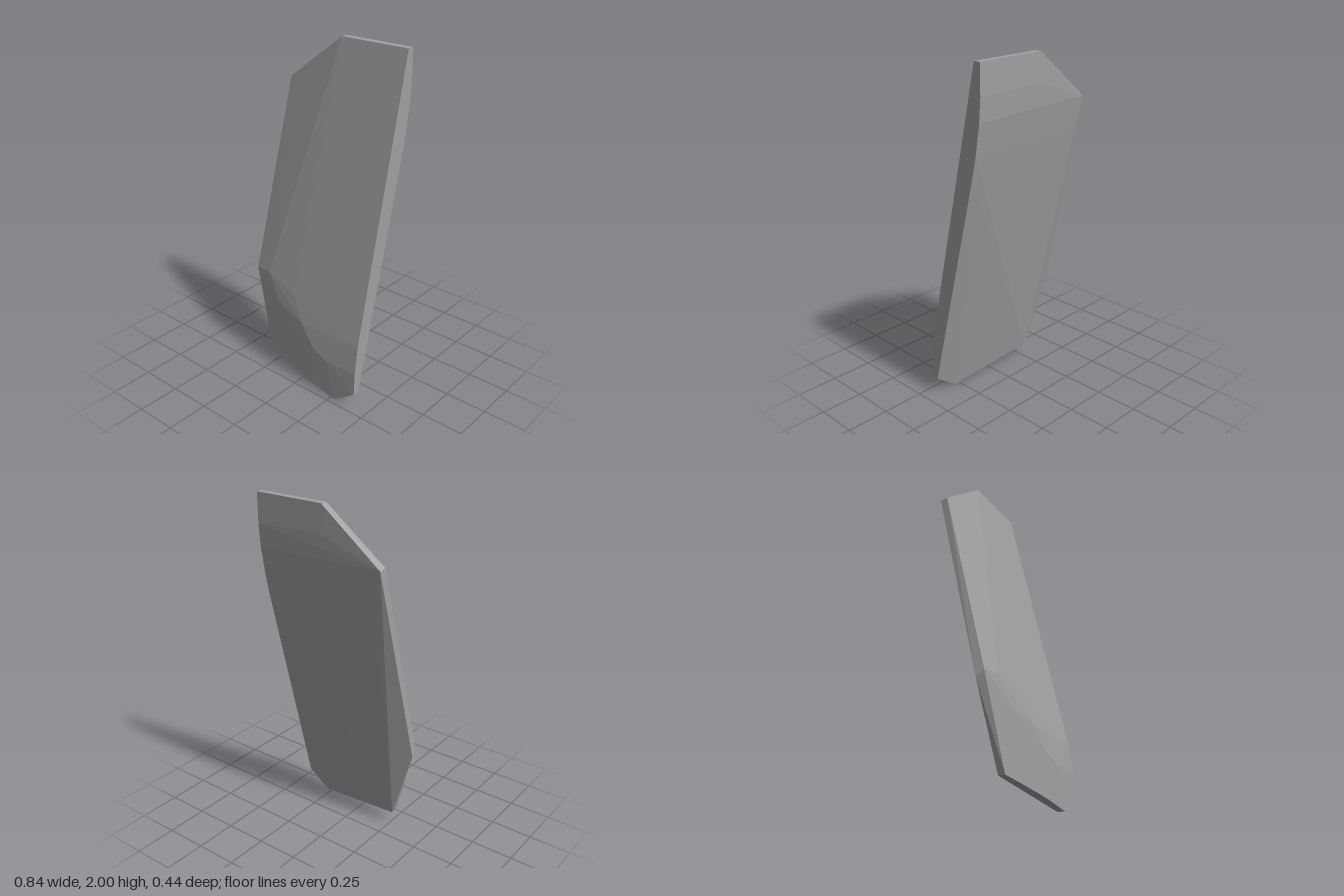
import * as THREE from 'three';
import { ConvexGeometry } from 'three/addons/geometries/ConvexGeometry.js';

export function createModel() {
  const group = new THREE.Group();
  group.name = 'curvedPanel';
  const grey = new THREE.MeshStandardMaterial({ color: 0xa0a0a0 });
  grey.name = 'plain grey';

  // Front skin: straight slope, rounding off toward the lower left
  const front = [
    [-0.01, 2, -0.176], [0.42, 2, -0.176], [-0.37, 1.725, -0.168],
    [0.42, 0.4, 0.19], [-0.08, 0.54, 0.158], [0, 0.4, 0.187],
    [-0.41, 0.59, 0.115], [-0.3, 0.6, 0.133], [-0.2, 0.45, 0.162],
    [0.1, 0.28, 0.205], [0.2, 0.235, 0.211], [0.42, 0.235, 0.211],
    [0.42, 0.1, 0.217], [0.28, 0, 0.217],
    [0.1, 0.027, 0.209], [-0.09, 0.054, 0.185], [-0.265, 0.08, 0.155],
  ];

  // Back skin: bends in bands near the top, then runs straight down
  const back = [
    [-0.01, 2, -0.218], [0.42, 2, -0.218],
    [-0.01, 1.84, -0.217], [0.42, 1.83, -0.217],
    [-0.37, 1.715, -0.21], [0.42, 1.7, -0.207],
    [-0.32, 1.52, -0.177], [0.42, 1.52, -0.177], [0.42, 1.4, -0.15],
    [-0.42, 0.55, 0.072], [-0.265, 0.08, 0.115],
    [0.28, 0, 0.175], [0.42, 0.1, 0.175],
  ];

  // Solid panel enclosing both skins, with flat facets
  const points = [...front, ...back].map((p) => new THREE.Vector3(...p));
  const panel = new THREE.Mesh(new ConvexGeometry(points), grey);
  panel.name = 'panel';
  group.add(panel);
  return group;
}
